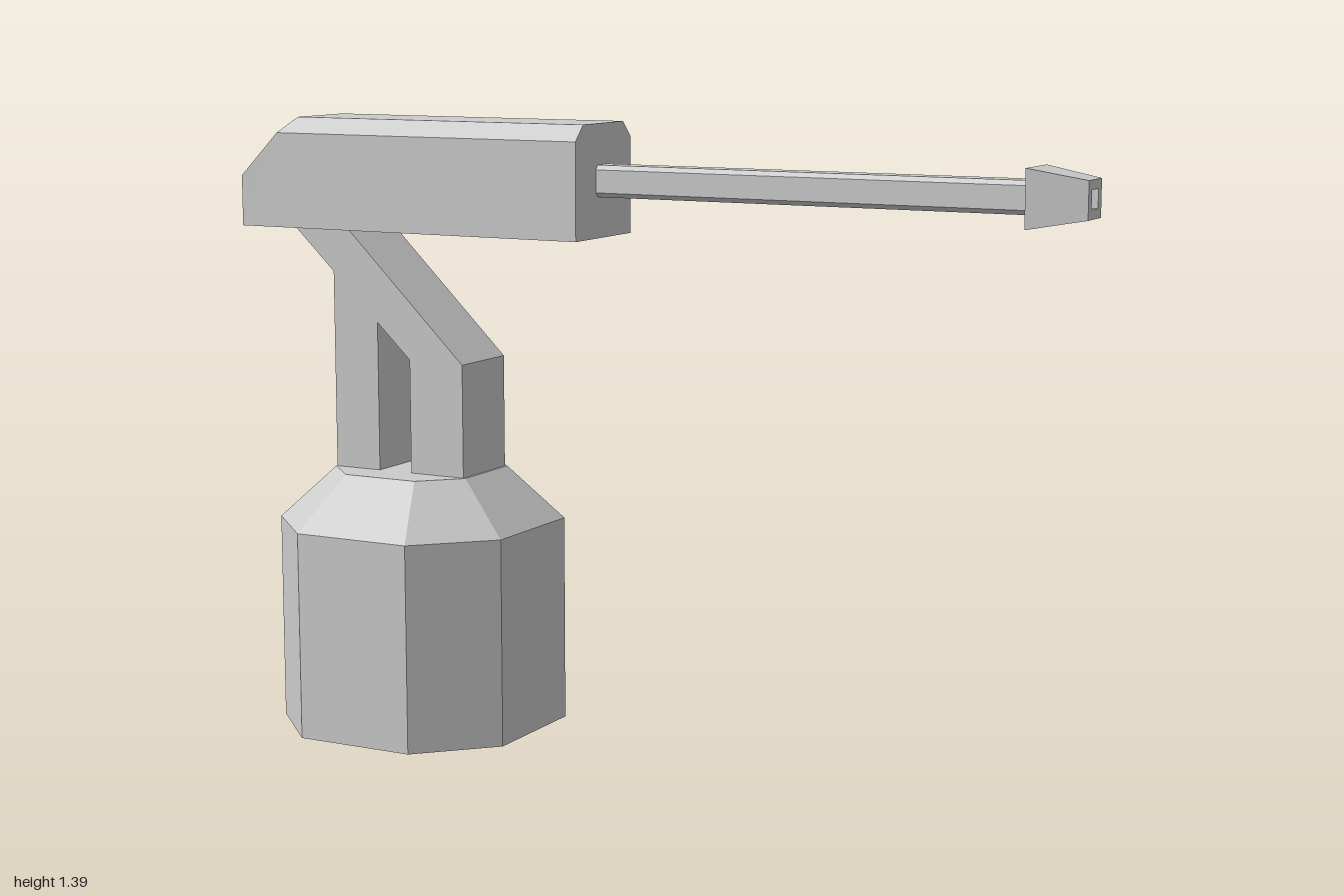
import * as THREE from 'three';
import { ConvexGeometry } from 'three/addons/geometries/ConvexGeometry.js';

const material = new THREE.MeshStandardMaterial({ color: 0xcccccc, flatShading: true });
const openMaterial = new THREE.MeshStandardMaterial({ color: 0xcccccc, flatShading: true, side: THREE.DoubleSide });

// Axis mappings for cross-sections: u x v points along the loft direction t
const alongY = (t, u, v) => [v, t, u];
const alongX = (t, u, v) => [t, u, v];

// Square with cut corners, counter-clockwise; c is the half length of a flat side
const octagon = (h, c) => [[h, -c], [h, c], [c, h], [-c, h], [-h, c], [-h, -c], [-c, -h], [c, -h]];
const square = (h) => [[h, -h], [h, h], [-h, h], [-h, -h]];

// Joins cross-sections { t, pts } with quads and optional end caps
function loft(sections, place, capStart, capEnd) {
  const n = sections[0].pts.length;
  const positions = sections.flatMap(({ t, pts }) => pts.flatMap(([u, v]) => place(t, u, v)));
  const index = [];
  const last = (sections.length - 1) * n;
  for (let s = 0; s < last; s += n) {
    for (let j = 0; j < n; j++) {
      const a = s + j, b = s + (j + 1) % n;
      index.push(a, b, b + n, a, b + n, a + n);
    }
  }
  for (let j = 1; j < n - 1; j++) {
    if (capStart) index.push(0, j + 1, j);
    if (capEnd) index.push(last, last + j, last + j + 1);
  }
  const geometry = new THREE.BufferGeometry();
  geometry.setAttribute('position', new THREE.Float32BufferAttribute(positions, 3));
  geometry.setIndex(index);
  geometry.computeVertexNormals();
  return geometry;
}

// Side outline in x/y, extruded evenly about z = 0
function plate(outline, depth) {
  const shape = new THREE.Shape(outline.map(([x, y]) => new THREE.Vector2(x, y)));
  return new THREE.ExtrudeGeometry(shape, { depth, bevelEnabled: false }).translate(0, 0, -depth / 2);
}

export function createModel() {
  const group = new THREE.Group();
  const add = (name, geometry, mat = material) => {
    const mesh = new THREE.Mesh(geometry, mat);
    mesh.name = name;
    group.add(mesh);
    return mesh;
  };

  // Eight-sided pedestal with sloped shoulder, open underneath
  add('pedestal', loft([
    { t: 0, pts: octagon(0.297, 0.143) },
    { t: 0.475, pts: octagon(0.297, 0.143) },
    { t: 0.595, pts: octagon(0.175, 0.092) },
  ], alongY, false, true), openMaterial).position.x = -0.602;

  // Bent support arm and the upright strut behind it
  add('bentArm', plate([
    [-0.572, 0.595], [-0.433, 0.595], [-0.433, 0.852],
    [-0.735, 1.147], [-0.88, 1.147], [-0.572, 0.855],
  ], 0.182));
  add('strut', plate([
    [-0.775, 0.595], [-0.658, 0.595], [-0.658, 0.937], [-0.775, 1.048],
  ], 0.18));

  // Housing with chamfered top edges and a sloped rear
  const housingPoints = [];
  for (const side of [-1, 1]) {
    for (const [x, y, z] of [
      [-1, 1.145, 0.125], [-1, 1.26, 0.125], [-0.9, 1.36, 0.125], [-0.865, 1.395, 0.09],
      [-0.12, 1.145, 0.125], [-0.12, 1.36, 0.125], [-0.12, 1.395, 0.09],
    ]) housingPoints.push(new THREE.Vector3(x, y, z * side));
  }
  add('housing', new ConvexGeometry(housingPoints));

  // Long barrel with cut corners
  add('barrel', loft([
    { t: -0.13, pts: octagon(0.035, 0.025) },
    { t: 0.88, pts: octagon(0.035, 0.025) },
  ], alongX, true, true)).position.y = 1.27;

  // Tapered square muzzle with a recessed bore
  add('muzzle', loft([
    { t: 0.875, pts: square(0.062) },
    { t: 1, pts: square(0.04) },
    { t: 1, pts: square(0.02) },
    { t: 0.95, pts: square(0.02) },
  ], alongX, true, true)).position.y = 1.27;

  return group;
}
